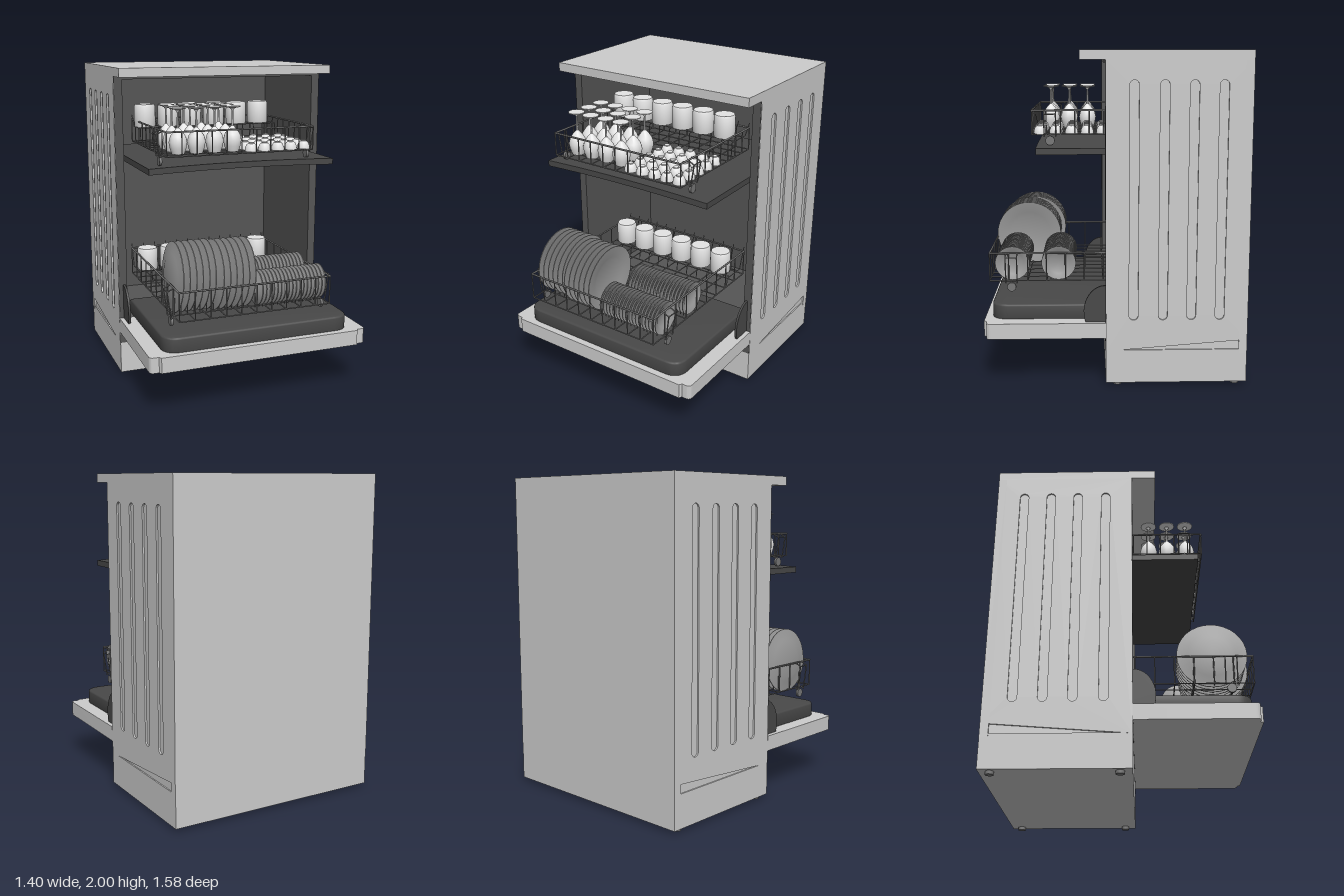
import * as THREE from 'three';
import { mergeGeometries, toCreasedNormals } from 'three/addons/utils/BufferGeometryUtils.js';

const mat = (name, color, side = THREE.FrontSide) => {
  const m = new THREE.MeshStandardMaterial({ color, side });
  m.name = name;
  return m;
};

export function createModel() {
  const root = new THREE.Group();
  root.name = 'dishwasher';
  const shell = mat('light grey enamel', 0xcccccc);
  const dark = mat('dark tub', 0x555555);
  const trayMat = mat('dark tray', 0x484848);
  const steel = mat('wire grey', 0x777777);
  const plateMat = mat('plate grey', 0x9c9c9c);
  const china = mat('white china', 0xe4e4e4, THREE.DoubleSide);

  const add = (name, geo, material, x = 0, y = 0, z = 0, parent = root) => {
    const m = new THREE.Mesh(geo, material);
    m.name = name;
    m.position.set(x, y, z);
    parent.add(m);
    return m;
  };
  // Box given by its limits on each axis
  const box = (name, material, [x0, x1], [y0, y1], [z0, z1]) =>
    add(name, new THREE.BoxGeometry(x1 - x0, y1 - y0, z1 - z0), material,
      (x0 + x1) / 2, (y0 + y1) / 2, (z0 + z1) / 2);
  const group = (name) => {
    const g = new THREE.Group();
    g.name = name;
    root.add(g);
    return g;
  };
  const lathe = (pts, seg = 24) => toCreasedNormals(
    new THREE.LatheGeometry(pts.map(p => new THREE.Vector2(...p)), seg), 0.7);

  // Cabinet
  box('worktop', shell, [-0.7, 0.7], [1.945, 2], [-0.79, 0.21]);
  box('backPanel', shell, [-0.7, 0.7], [0.2, 1.945], [-0.79, -0.74]);
  box('plinth', shell, [-0.698, 0.698], [0.02, 0.225], [-0.79, 0.06]);
  box('tubBack', dark, [-0.645, 0.645], [0.225, 1.945], [-0.74, -0.7]);
  box('tubFloor', dark, [-0.645, 0.645], [0.225, 0.36], [-0.7, 0.056]);
  box('tubCeiling', dark, [-0.645, 0.645], [1.925, 1.944], [-0.7, 0.056]);

  // Side skin with four long pressed grooves and a sloping lower edge
  const skin = new THREE.Shape();
  skin.moveTo(-0.789, 0.285);
  skin.lineTo(0.058, 0.22);
  skin.lineTo(0.058, 1.945);
  skin.lineTo(-0.789, 1.945);
  skin.closePath();
  for (const z of [-0.105, -0.28, -0.45, -0.62]) {
    const slot = new THREE.Path();
    slot.absarc(z, 1.805, 0.027, 0, Math.PI, false);
    slot.absarc(z, 0.44, 0.027, Math.PI, Math.PI * 2, false);
    slot.closePath();
    skin.holes.push(slot);
  }
  const alongX = (shape, depth) => new THREE.ExtrudeGeometry(shape,
    { depth, bevelEnabled: false, curveSegments: 12 }).rotateY(-Math.PI / 2);
  const skinGeo = toCreasedNormals(alongX(skin, 0.01), 0.5);

  // Rounded hinge cover beside the door
  const hinge = new THREE.Shape();
  hinge.moveTo(-0.05, 0.39);
  hinge.lineTo(0.18, 0.39);
  hinge.bezierCurveTo(0.22, 0.49, 0.16, 0.62, 0.06, 0.62);
  hinge.lineTo(-0.05, 0.62);
  const hingeGeo = alongX(hinge, 0.014);

  for (const s of [-1, 1]) {
    const span = (a, b) => (s > 0 ? [a, b] : [-b, -a]);
    add('sidePanel', skinGeo, shell, s > 0 ? 0.7 : -0.69);
    box('sideWall', shell, span(0.655, 0.69), [0.2, 1.945], [-0.785, 0.056]);
    box('tubSide', dark, span(0.645, 0.655), [0.225, 1.945], [-0.74, 0.056]);
    box('frontFlange', dark, span(0.645, 0.698), [0.225, 1.945], [0.055, 0.062]);
    add('hingeCover', hingeGeo, trayMat, s > 0 ? 0.672 : -0.658);
    for (const z of [-0.01, -0.725])
      add('foot', new THREE.CylinderGeometry(0.025, 0.025, 0.024, 16), steel, s * 0.655, 0.012, z);
  }
  box('frontSill', dark, [-0.645, 0.645], [0.225, 0.36], [0.055, 0.061]);

  // Open door, drawn in plan with the front downwards
  const alongY = (shape, opts) => toCreasedNormals(new THREE.ExtrudeGeometry(shape,
    { bevelEnabled: false, curveSegments: 10, ...opts }).rotateX(-Math.PI / 2), 0.6);
  const door = new THREE.Shape();
  door.moveTo(0.7, -0.06);
  door.lineTo(-0.7, -0.06);
  door.lineTo(-0.7, -0.745);
  door.quadraticCurveTo(-0.7, -0.775, -0.67, -0.775);
  door.lineTo(-0.645, -0.775);
  door.lineTo(-0.635, -0.793);
  door.lineTo(0.635, -0.793);
  door.lineTo(0.645, -0.775);
  door.lineTo(0.67, -0.775);
  door.quadraticCurveTo(0.7, -0.775, 0.7, -0.745);
  door.closePath();
  add('door', alongY(door, { depth: 0.095 }), shell, 0, 0.3, 0);

  const liner = new THREE.Shape();
  liner.moveTo(0.59, 0.03);
  liner.lineTo(-0.59, 0.03);
  liner.lineTo(-0.59, -0.65);
  liner.quadraticCurveTo(-0.59, -0.738, -0.5, -0.738);
  liner.lineTo(0.5, -0.738);
  liner.quadraticCurveTo(0.59, -0.738, 0.59, -0.65);
  liner.closePath();
  add('doorLiner', alongY(liner, { depth: 0.077, bevelEnabled: true, bevelSize: 0.012,
    bevelThickness: 0.012, bevelSegments: 3 }), trayMat, 0, 0.396, 0);

  // Upper tray, gently bowed
  const tray = new THREE.Shape();
  tray.moveTo(-0.6, 1.395);
  tray.quadraticCurveTo(0, 1.42, 0.6, 1.395);
  tray.lineTo(0.6, 1.432);
  tray.quadraticCurveTo(0, 1.456, -0.6, 1.432);
  tray.closePath();
  add('upperTray', toCreasedNormals(new THREE.ExtrudeGeometry(tray,
    { depth: 1.07, bevelEnabled: false, curveSegments: 12 }), 0.5), trayMat, 0, 0, -0.6);

  // Straight wires joined along a list of points
  const wire = (list, pts, r = 0.004) => {
    for (let i = 0; i + 1 < pts.length; i++) {
      const a = new THREE.Vector3(...pts[i]), b = new THREE.Vector3(...pts[i + 1]);
      const d = b.clone().sub(a);
      const g = new THREE.CylinderGeometry(r, r, d.length(), 6);
      g.applyQuaternion(new THREE.Quaternion().setFromUnitVectors(
        new THREE.Vector3(0, 1, 0), d.normalize()));
      const c = a.add(b).multiplyScalar(0.5);
      list.push(g.translate(c.x, c.y, c.z));
    }
  };
  // Wire basket: rails, uprights, floor grid, cup shelf, handles and wheels
  const basket = (name, x0, x1, y0, y1, z0, z1, wheelZ, shelfY) => {
    const g = group(name), w = [];
    for (const [y, r] of [[y0, 0.004], [y1, 0.006]])
      wire(w, [[x0, y, z0], [x1, y, z0], [x1, y, z1], [x0, y, z1], [x0, y, z0]], r);
    for (let i = 0; i <= 10; i++) {
      const x = x0 + (x1 - x0) * i / 10;
      wire(w, [[x, y1, z0], [x, y0, z0], [x, y0, z1], [x, y1, z1]]);
    }
    for (let i = 1; i < 9; i++) {
      const z = z0 + (z1 - z0) * i / 9;
      wire(w, [[x0, y1, z], [x0, y0, z], [x1, y0, z], [x1, y1, z]]);
    }
    for (const z of [-0.2, -0.1]) wire(w, [[x0, shelfY, z], [x1, shelfY, z]]);
    for (let i = 0; i <= 12; i++) {
      const x = x0 + (x1 - x0) * i / 12;
      wire(w, [[x, y0, -0.06], [x, shelfY, -0.07], [x, shelfY, -0.23], [x, y1 + 0.03, z0]], 0.003);
    }
    for (const [x, s] of [[x0, -1], [x1, 1]]) {
      for (const dz of [-0.035, 0.035])
        wire(w, [[x, y0, wheelZ + dz], [x + s * 0.02, y0 - 0.01, wheelZ + dz],
          [x + s * 0.042, y1 - 0.02, wheelZ + dz], [x, y1, wheelZ + dz]]);
      wire(w, [[x + s * 0.042, y1 - 0.02, wheelZ - 0.035], [x + s * 0.042, y1 - 0.02, wheelZ + 0.035]]);
      wire(w, [[x + s * 0.008, y0, wheelZ], [x + s * 0.008, y0 - 0.04, wheelZ]]);
      add('wheel', new THREE.CylinderGeometry(0.028, 0.028, 0.016, 18).rotateZ(Math.PI / 2),
        steel, x + s * 0.01, y0 - 0.036, wheelZ, g);
    }
    return { g, w };
  };
  const upper = basket('upperBasket', -0.5, 0.44, 1.5, 1.645, -0.28, 0.5, 0.39, 1.605);
  const lower = basket('lowerBasket', -0.52, 0.44, 0.59, 0.765, -0.28, 0.775, 0.64, 0.65);

  // Crockery shapes
  const cup = lathe([[0, 0], [0.066, 0], [0.069, 0.01], [0.068, 0.13], [0.062, 0.145], [0, 0.145]]);
  const glass = lathe([[0, 0.01], [0.038, 0], [0.05, 0.035], [0.056, 0.07], [0.047, 0.105], [0.026, 0.135],
    [0.007, 0.155], [0.005, 0.245], [0.015, 0.26], [0.05, 0.268], [0.05, 0.273], [0, 0.273]], 18);
  const bowl = lathe([[0, 0], [0.04, 0], [0.038, 0.02], [0.028, 0.042], [0.018, 0.047],
    [0.018, 0.053], [0, 0.053]], 16);
  const plate = (r) => lathe([[0, 0], [r * 0.55, 0], [r * 0.68, 0.008], [r, 0.02], [r, 0.025],
    [r * 0.66, 0.014], [r * 0.55, 0.007], [0, 0.007]], 32).rotateZ(-Math.PI / 2);

  const dishes = group('crockery');
  for (let i = 0; i < 6; i++) {
    const x = -0.45 + i * 0.158;
    add('cup', cup, china, x, 1.61, -0.14, dishes);
    add('cup', cup, china, x, 0.655, -0.14, dishes);
  }
  for (let r = 0; r < 3; r++)
    for (let i = 0; i < 4; i++)
      add('wineGlass', glass, china, -0.4 + i * 0.115, 1.503, 0.405 - r * 0.12, dishes);
  for (let r = 0; r < 5; r++)
    for (let i = 0; i < 5; i++)
      add('smallBowl', bowl, china, 0.05 + i * 0.0875, 1.503, 0.452 - r * 0.095, dishes);

  // Plates on edge, with pins between them
  const big = plate(0.213), small = plate(0.107);
  for (let i = 0; i < 12; i++) {
    const x = -0.505 + i * 0.0395, z = i < 6 ? 0.535 : 0.562;
    add('dinnerPlate', big, plateMat, x, 0.79, z, dishes).rotation.z = -0.06;
    for (const pz of [0.42, 0.66]) wire(lower.w, [[x - 0.008, 0.59, pz], [x - 0.008, 0.7, pz]], 0.003);
  }
  for (let i = 0; i < 18; i++) {
    const x = -0.01 + i * 0.0245;
    for (const z of [0.635, 0.348]) {
      add('sidePlate', small, plateMat, x, 0.7, z, dishes).rotation.z = -0.04;
      wire(lower.w, [[x - 0.004, 0.59, z + 0.05], [x - 0.004, 0.68, z + 0.05]], 0.003);
    }
  }

  for (const b of [upper, lower]) add('wires', mergeGeometries(b.w), steel, 0, 0, 0, b.g);
  return root;
}
